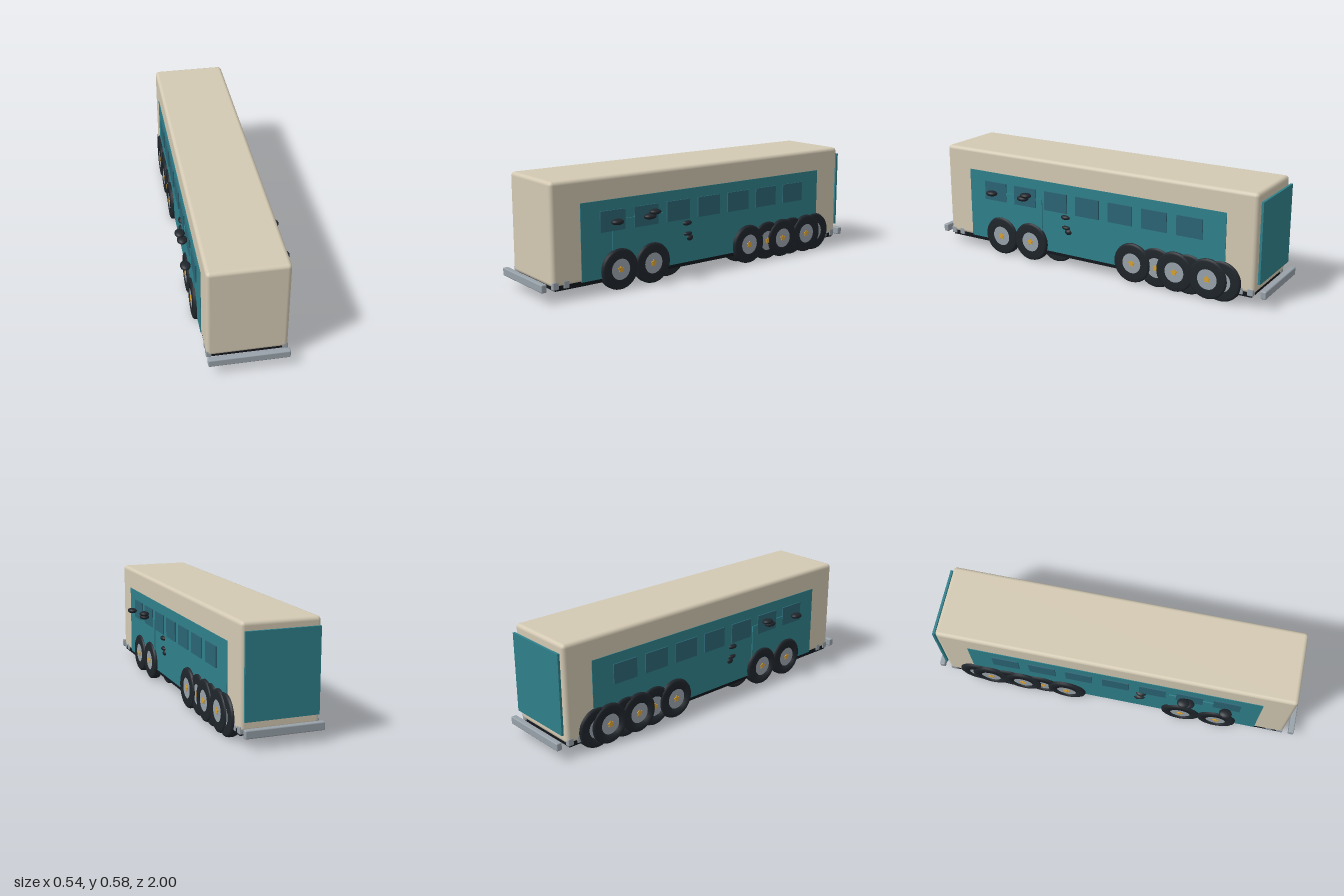
import * as THREE from 'three';
import { RoundedBoxGeometry } from 'three/addons/geometries/RoundedBoxGeometry.js';

const mat = (color) => new THREE.MeshStandardMaterial({ color });
const CREAM = mat(0xd3c9b3), TEAL = mat(0x2f808b), GLASS = mat(0x2b6474), RUBBER = mat(0x1f252b);
const STEEL = mat(0x98a2aa), GOLD = mat(0xdba230), UNDER = mat(0x13171d);

function add(parent, name, geometry, material, x = 0, y = 0, z = 0) {
  const mesh = new THREE.Mesh(geometry, material);
  mesh.name = name;
  mesh.position.set(x, y, z);
  parent.add(mesh);
  return mesh;
}

// Box given by its limits, with optional rounded edges
function block(parent, name, material, [x0, x1], [y0, y1], [z0, z1], r = 0) {
  const size = [x1 - x0, y1 - y0, z1 - z0];
  const geometry = r ? new RoundedBoxGeometry(...size, 2, r) : new THREE.BoxGeometry(...size);
  return add(parent, name, geometry, material, (x0 + x1) / 2, (y0 + y1) / 2, (z0 + z1) / 2);
}

// Tyre cross-section (radius, offset along the axle)
const W = 0.025, R = 0.106;
const tyreGeometry = new THREE.LatheGeometry(
  [[0.054, -W], [0.094, -W], [0.103, -W * 0.8], [R, -W * 0.45], [R, W * 0.45], [0.103, W * 0.8], [0.094, W], [0.054, W], [0.054, -W]]
    .map(([r, h]) => new THREE.Vector2(r, h)), 32);
const rimGeometry = new THREE.CylinderGeometry(0.056, 0.056, W * 2 - 0.006, 28);
const hubGeometry = new THREE.CylinderGeometry(0.012, 0.012, W * 2 + 0.004, 10);
const nutGeometry = new THREE.CylinderGeometry(0.005, 0.005, W * 2 + 0.002, 6);

function addWheel(parent, name, x, z) {
  const wheel = new THREE.Group();
  wheel.name = name;
  add(wheel, 'tyre', tyreGeometry, RUBBER);
  add(wheel, 'rim', rimGeometry, STEEL);
  add(wheel, 'hub', hubGeometry, GOLD);
  for (let i = 0; i < 5; i++) {
    const a = (i / 5) * Math.PI * 2;
    add(wheel, 'wheelNut', nutGeometry, GOLD, Math.cos(a) * 0.013, 0, Math.sin(a) * 0.013);
  }
  wheel.rotation.z = Math.PI / 2;
  wheel.position.set(x, 0.109, z);
  parent.add(wheel);
}

export function createModel() {
  const bus = new THREE.Group();
  bus.name = 'bus';

  // Body shell, floor and rear panel
  block(bus, 'body', CREAM, [-0.198, 0.198], [0.072, 0.58], [-0.94, 0.941], 0.02);
  block(bus, 'underfloor', UNDER, [-0.193, 0.193], [0.054, 0.08], [-0.925, 0.925]);
  block(bus, 'rearPanel', TEAL, [-0.186, 0.186], [0.125, 0.54], [-0.962, -0.95]);
  block(bus, 'rearPanelMount', CREAM, [-0.15, 0.15], [0.17, 0.5], [-0.952, -0.935]);

  // Bumpers front and rear
  for (const s of [-1, 1]) {
    const z = s > 0 ? [0.97, 1] : [-1, -0.97];
    block(bus, s > 0 ? 'frontBumper' : 'rearBumper', STEEL, [-0.198, 0.198], [0.059, 0.1], z, 0.006);
  }

  for (const s of [-1, 1]) {
    const side = new THREE.Group();
    side.name = s > 0 ? 'leftSide' : 'rightSide';
    bus.add(side);
    const span = (a, b) => (s > 0 ? [a, b] : [-b, -a]);

    // Side panel, door and windows
    block(side, 'sidePanel', TEAL, span(0.19, 0.201), [0.075, 0.463], [-0.782, 0.782]);
    block(side, 'door', TEAL, span(0.195, 0.206), [0.085, 0.36], [0.295, 0.605]);
    for (let i = 0; i < 7; i++) {
      const z = 0.604 - i * 0.1985;
      block(side, 'window', GLASS, span(0.195, 0.2075), [0.306, 0.41], [z - 0.0715, z + 0.0715]);
    }

    // Corner brackets beside the bumpers
    for (const z of [0.922, 0.864, -0.864, -0.918])
      block(side, 'bracket', STEEL, span(0.172, 0.199), [0.061, 0.1], [z - 0.016, z + 0.016], 0.005);

    // Outer wheels, slightly recessed wheels, and inner wheels
    for (const z of [0.567, 0.37, -0.267, -0.513, -0.695]) addWheel(side, 'outerWheel', s * 0.192, z);
    for (const z of [-0.406, -0.588, -0.765]) addWheel(side, 'recessedWheel', s * 0.186, z);
    for (const z of [0.235, -0.25, -0.41, -0.6, -0.74]) addWheel(side, 'innerWheel', s * 0.136, z);

    // Mirrors and side lamps as flattened spheres: x, y, z, then radii
    const pods = [
      ['mirror', 0.245, 0.358, 0.602, 0.026, 0.015, 0.034],
      ['mirror', 0.232, 0.357, 0.402, 0.026, 0.015, 0.034],
      ['upperMirror', 0.24, 0.379, 0.376, 0.026, 0.014, 0.032],
      ['sideLamp', 0.194, 0.283, 0.147, 0.024, 0.014, 0.03],
      ['sideLamp', 0.194, 0.226, 0.143, 0.022, 0.012, 0.028],
      ['sideLamp', 0.19, 0.203, 0.13, 0.022, 0.018, 0.024],
    ];
    for (const [name, x, y, z, rx, ry, rz] of pods)
      add(side, name, new THREE.SphereGeometry(1, 20, 12), RUBBER, s * x, y, z).scale.set(rx, ry, rz);
  }
  return bus;
}
